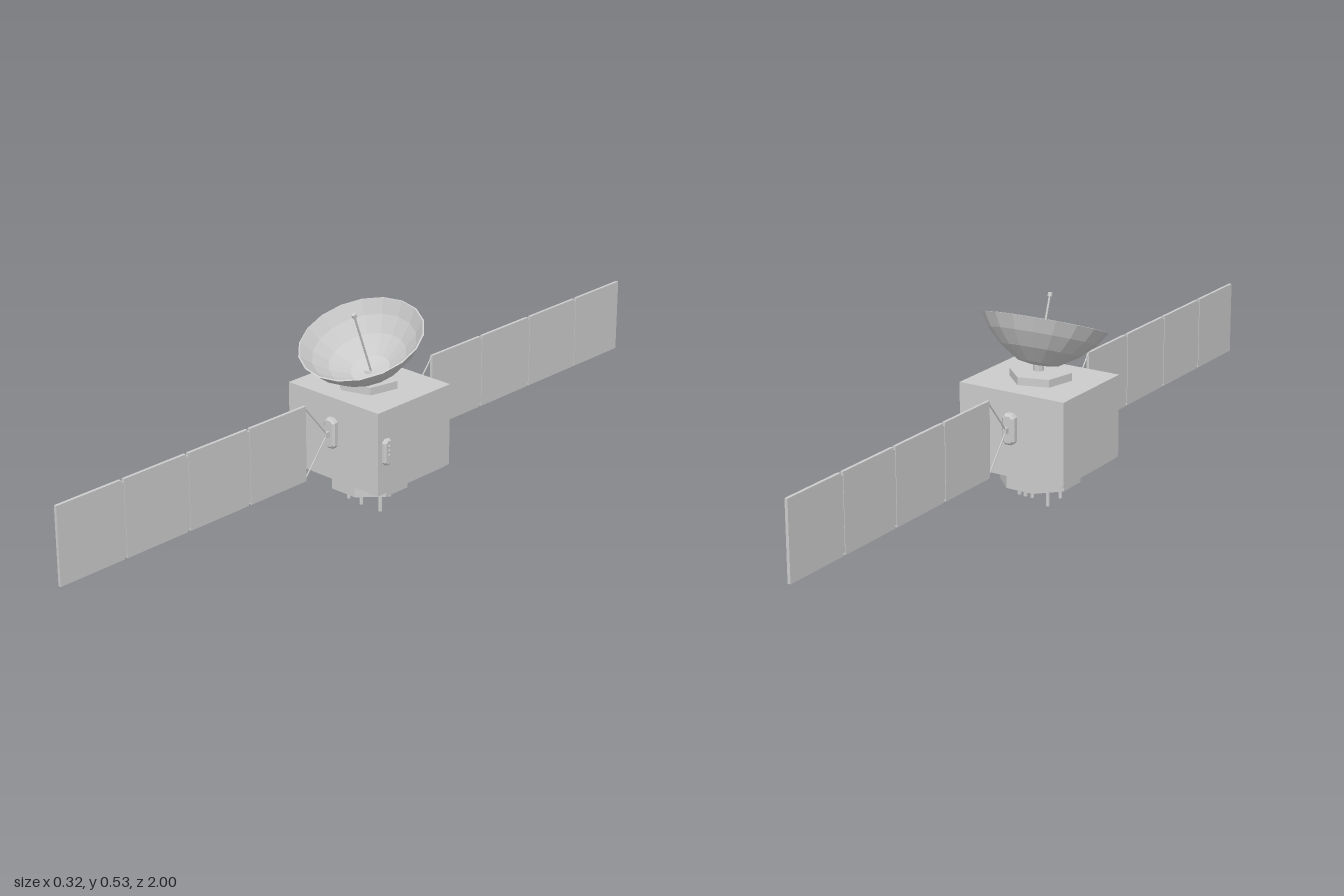
import * as THREE from 'three';

const mat = new THREE.MeshStandardMaterial({ color: 0xcccccc, flatShading: true });
const CX = -0.007; // centre line of the bus

function add(parent, name, geometry, x = 0, y = 0, z = 0) {
  const mesh = new THREE.Mesh(geometry, mat);
  mesh.name = name;
  mesh.position.set(x, y, z);
  parent.add(mesh);
  return mesh;
}

const box = (w, h, d) => new THREE.BoxGeometry(w, h, d);

// Prism standing on y with flat sides
const prism = (r, h, sides, start = 0) =>
  new THREE.CylinderGeometry(r, r, h, sides, 1, false, start);

// Thin rod between two points
function rod(parent, name, a, b, r) {
  const dir = b.clone().sub(a);
  const mesh = add(parent, name, prism(r, dir.length(), 6));
  mesh.position.copy(a).addScaledVector(dir, 0.5);
  mesh.quaternion.setFromUnitVectors(new THREE.Vector3(0, 1, 0), dir.normalize());
  return mesh;
}

// Upright plate with cut corners, extruded along +z
function cutPlate(w, h, d, c) {
  const x = w / 2, y = h / 2;
  const shape = new THREE.Shape([
    [-x + c, -y], [x - c, -y], [x, -y + c], [x, y - c],
    [x - c, y], [-x + c, y], [-x, y - c], [-x, -y + c],
  ].map(p => new THREE.Vector2(...p)));
  const b = d * 0.3;
  return new THREE.ExtrudeGeometry(shape, {
    depth: d - b, bevelEnabled: true, bevelThickness: b, bevelSize: b, bevelOffset: -b, bevelSegments: 1,
  });
}

// Solar wing reaching along +z
function makeWing() {
  const wing = new THREE.Group();
  const y = 0.234, h = 0.196, start = 0.228, pitch = 0.1945, length = 0.1865;
  add(wing, 'wingMount', cutPlate(0.035, 0.079, 0.018, 0.009), 0, y, 0.129);
  add(wing, 'wingHub', box(0.009, 0.014, 0.014), 0, y, 0.151);
  for (const s of [-1, 1]) {
    rod(wing, 'wingStrut', new THREE.Vector3(0, y + s * 0.003, 0.154),
      new THREE.Vector3(0, y + s * 0.095, start + 0.002), 0.002);
  }
  for (let i = 0; i < 4; i++) {
    const z = start + i * pitch;
    add(wing, 'solarPanel', box(0.008, h, length), 0, y, z + length / 2);
    if (i < 3) add(wing, 'panelHinge', box(0.005, h - 0.014, 0.012), 0, y, z + length + 0.004);
  }
  return wing;
}

// Tilted dish with its feed
function makeDish() {
  const dish = new THREE.Group();
  dish.name = 'dish';
  const outer = [[0, -0.008], [0.05, -0.001], [0.1, 0.031], [0.136, 0.066], [0.159, 0.1]];
  const inner = [[0.155, 0.101], [0.132, 0.069], [0.098, 0.036], [0.049, 0.004], [0, -0.003]];
  const profile = [...outer, ...inner].map(p => new THREE.Vector2(...p));
  add(dish, 'dishBowl', new THREE.LatheGeometry(profile, 18));
  add(dish, 'feedRod', prism(0.0028, 0.172, 6), 0, 0.083, 0);
  add(dish, 'feedTip', prism(0.006, 0.01, 8), 0, 0.171, 0);
  dish.position.set(0, 0.363, 0.005);
  dish.rotation.set(0.38, 0, -0.03);
  return dish;
}

export function createModel() {
  const model = new THREE.Group();
  model.name = 'satellite';

  // Bus
  add(model, 'body', box(0.3, 0.215, 0.26), CX, 0.2175, 0.002);
  add(model, 'basePlate', box(0.283, 0.008, 0.243), CX, 0.107, 0.002);
  add(model, 'lowerHousing', prism(0.1018, 0.046, 8, Math.PI / 8), -0.008, 0.082, 0.002);

  // Dish mount
  add(model, 'dishPedestal', prism(0.08, 0.022, 6, -13 * Math.PI / 180), -0.008, 0.334, 0.005);
  add(model, 'dishPost', prism(0.014, 0.022, 10), -0.002, 0.349, 0.005);
  model.add(makeDish());

  // Thruster rods below: x, z, lowest y
  const rods = [
    [-0.066, 0.005, 0.022], [-0.05, -0.028, 0.008], [-0.032, 0.05, 0.022], [-0.006, -0.03, 0.022],
    [0.015, 0.054, 0.022], [0.033, -0.028, 0.022], [0.045, 0.018, 0],
  ];
  for (const [x, z, y] of rods) add(model, 'lowerRod', prism(0.0052, 0.065 - y, 8), x, (0.065 + y) / 2, z);

  // Sensor on the left side
  const sensor = new THREE.Group();
  sensor.name = 'sideSensor';
  add(sensor, 'sensorCase', cutPlate(0.028, 0.067, 0.012, 0.008));
  for (const y of [-0.008, 0.004, 0.016]) {
    add(sensor, 'sensorKnob', prism(0.004, 0.004, 8), 0, y, 0.013).rotation.x = Math.PI / 2;
  }
  sensor.position.set(0.142, 0.219, 0.104);
  sensor.rotation.y = Math.PI / 2;
  model.add(sensor);

  // Solar wings, front and back
  for (const [name, turn] of [['frontWing', 0], ['backWing', Math.PI]]) {
    const wing = makeWing();
    wing.name = name;
    wing.position.x = -0.008;
    wing.rotation.y = turn;
    model.add(wing);
  }
  return model;
}
